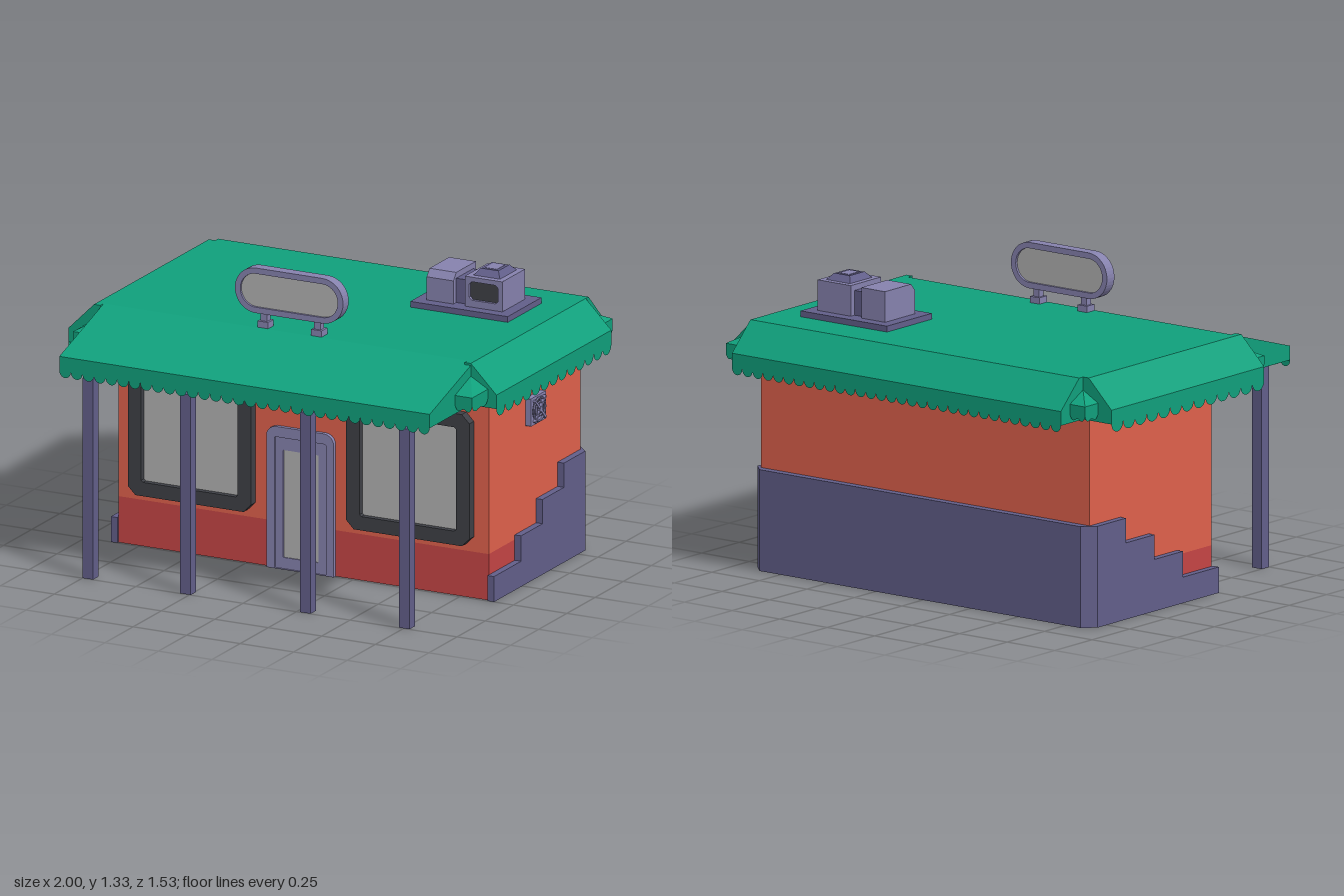
import * as THREE from 'three';
import { ConvexGeometry } from 'three/addons/geometries/ConvexGeometry.js';

const mat = (color, side = THREE.FrontSide) => new THREE.MeshStandardMaterial({ color, side, flatShading: true });
const M = {
  wall: mat(0xe0614c), plinth: mat(0xc54545), green: mat(0x10a07c), trim: mat(0x10a07c, THREE.DoubleSide),
  light: mat(0x8682ae), dark: mat(0x625f8a), black: mat(0x3e4046), glass: mat(0xb2b2b2),
};

function add(parent, name, geo, material) {
  const mesh = new THREE.Mesh(geo, material);
  mesh.name = name;
  parent.add(mesh);
  return mesh;
}

// Box given by its limits
function box(x0, x1, y0, y1, z0, z1) {
  return new THREE.BoxGeometry(x1 - x0, y1 - y0, z1 - z0).translate((x0 + x1) / 2, (y0 + y1) / 2, (z0 + z1) / 2);
}

const poly = (pts) => new THREE.Shape(pts.map(([x, y]) => new THREE.Vector2(x, y)));

// Rectangle with corners of radius r in n segments; only the top ones if topOnly
function roundRect(x0, y0, x1, y1, r, n = 5, topOnly = false) {
  const pts = [];
  const corner = (cx, cy, start) => {
    for (let i = 0; i <= n; i++) {
      const a = start + (i / n) * Math.PI / 2;
      pts.push([cx + r * Math.cos(a), cy + r * Math.sin(a)]);
    }
  };
  corner(x1 - r, y1 - r, 0);
  corner(x0 + r, y1 - r, Math.PI / 2);
  if (topOnly) pts.push([x0, y0], [x1, y0]);
  else {
    corner(x0 + r, y0 + r, Math.PI);
    corner(x1 - r, y0 + r, Math.PI * 1.5);
  }
  return poly(pts);
}

// Extrude a front-facing shape between two z values
function slab(shape, z0, z1, hole) {
  if (hole) shape.holes.push(hole);
  return new THREE.ExtrudeGeometry(shape, { depth: z1 - z0, bevelEnabled: false }).translate(0, 0, z0);
}

// Extrude a [z, y] profile between two x values
function prismX(profile, x0, x1) {
  return slab(poly(profile.map(([z, y]) => [-z, y])), x0, x1).rotateY(Math.PI / 2);
}

// Thin row of n scallops hanging below y = 0, centred on x
function scallops(length, n, drop) {
  const s = new THREE.Shape(), w = length / n;
  s.moveTo(-length / 2, 0);
  for (let i = 0; i < n; i++) s.absellipse(-length / 2 + (i + 0.5) * w, 0, w / 2, drop, Math.PI, Math.PI * 2, false);
  return new THREE.ShapeGeometry(s, 5);
}

function addRoof(root) {
  const roof = new THREE.Group();
  roof.name = 'roof';
  root.add(roof);
  add(roof, 'roofSlab', box(-0.85, 0.88, 0.89, 1.07, -0.645, 0.37), M.green);

  // Front and back awnings
  add(roof, 'frontAwning', prismX([[0.37, 0.89], [0.765, 0.89], [0.765, 0.95], [0.37, 1.07]], -0.85, 0.88), M.green);
  add(roof, 'backAwning', prismX([[-0.645, 0.89], [-0.645, 1.07], [-0.768, 0.95], [-0.768, 0.89]], -0.85, 0.88), M.green);
  for (const z of [0.765, -0.768])
    add(roof, 'longScallops', scallops(1.73, 32, 0.03), M.trim).position.set(0.015, 0.89, z);

  // Side awnings and hipped corner pieces
  for (const s of [-1, 1]) {
    const side = poly([[0.85, 0.89], [1, 0.89], [1, 0.95], [0.88, 1.07], [0.85, 1.07]].map(([x, y]) => [s * x, y]));
    add(roof, 'sideAwning', slab(side, -0.62, 0.4), M.green);
    const edge = add(roof, 'sideScallops', scallops(1.02, 13, 0.037), M.trim);
    edge.position.set(s, 0.89, -0.11);
    edge.rotation.y = s * Math.PI / 2;

    const x0 = s > 0 ? 0.88 : -0.85, x1 = x0 + s * 0.08;
    for (const [z0, z1] of [[0.4, s > 0 ? 0.54 : 0.49], [-0.62, -0.708]]) {
      const pts = [new THREE.Vector3(x0, 1.015, z0)];
      for (const x of [x0, x1]) for (const z of [z0, z1]) for (const y of [0.935, 0.97]) pts.push(new THREE.Vector3(x, y, z));
      add(roof, 'cornerAwning', new ConvexGeometry(pts), M.green);
      add(roof, 'cornerScallops', scallops(0.08, 2, 0.03), M.trim).position.set((x0 + x1) / 2, 0.935, z1);
      const c = add(roof, 'cornerScallops', scallops(Math.abs(z1 - z0), 2, 0.03), M.trim);
      c.position.set(x1, 0.935, (z0 + z1) / 2);
      c.rotation.y = Math.PI / 2;
    }
  }
}

function addSign(root) {
  const sign = new THREE.Group();
  sign.name = 'roofSign';
  root.add(sign);
  add(sign, 'signRim', slab(roundRect(-0.24, 1.13, 0.265, 1.325, 0.097, 10), 0.315, 0.365,
    roundRect(-0.215, 1.155, 0.24, 1.3, 0.072, 10)), M.light);
  add(sign, 'signPanel', slab(roundRect(-0.216, 1.154, 0.241, 1.301, 0.072, 10), 0.325, 0.355), M.glass);
  for (const x of [-0.11, 0.14]) {
    add(sign, 'signLeg', box(x - 0.015, x + 0.015, 1.07, 1.14, 0.325, 0.355), M.light);
    add(sign, 'signFoot', box(x - 0.025, x + 0.025, 1.07, 1.097, 0.315, 0.365), M.light);
  }
}

function addRoofUnit(root) {
  const unit = new THREE.Group();
  unit.name = 'roofUnit';
  root.add(unit);
  add(unit, 'unitBase', box(0.295, 0.75, 1.07, 1.095, -0.475, -0.175), M.dark);
  add(unit, 'smallHousing', prismX([[-0.425, 1.095], [-0.225, 1.095], [-0.225, 1.195], [-0.25, 1.225], [-0.425, 1.225]], 0.345, 0.47), M.light);
  add(unit, 'unitDuct', box(0.46, 0.53, 1.095, 1.2, -0.4, -0.25), M.dark);

  // Large housing: a shell with a recessed grille
  add(unit, 'largeHousing', box(0.525, 0.7, 1.095, 1.225, -0.425, -0.24), M.light);
  add(unit, 'grilleFrame', slab(roundRect(0.525, 1.095, 0.7, 1.225, 0.001, 1), -0.24, -0.222,
    roundRect(0.545, 1.125, 0.68, 1.205, 0.012, 1)), M.light);
  add(unit, 'grille', box(0.54, 0.685, 1.12, 1.21, -0.24, -0.235), M.black);

  // Tapered cap with a sunken opening
  const cap = new THREE.CylinderGeometry(0.045, 0.068, 0.027, 4, 1, true).rotateY(Math.PI / 4).scale(1.3, 1, 1.55);
  add(unit, 'cap', cap, M.dark).position.set(0.612, 1.238, -0.325);
  add(unit, 'capTop', box(0.572, 0.652, 1.225, 1.2505, -0.373, -0.277), M.dark);
  add(unit, 'capVent', box(0.585, 0.639, 1.245, 1.252, -0.36, -0.29), M.light);
}

function addVent(root) {
  const vent = new THREE.Group();
  vent.name = 'wallVent';
  vent.position.set(0.88, 0.725, -0.153);
  vent.rotation.y = Math.PI / 2;
  root.add(vent);
  const hole = new THREE.Path().absarc(0, 0, 0.052, 0, Math.PI * 2);
  add(vent, 'ventFrame', slab(roundRect(-0.067, -0.06, 0.067, 0.06, 0.002, 1), 0, 0.025, hole), M.light);
  add(vent, 'ventBack', new THREE.CircleGeometry(0.054, 20).translate(0, 0, 0.006), M.black);
  for (const r of [0.05, 0.03])
    add(vent, 'ventRing', new THREE.TorusGeometry(r, 0.005, 6, 20).translate(0, 0, 0.03), M.light);
  for (const a of [Math.PI / 4, -Math.PI / 4])
    add(vent, 'ventBar', box(-0.066, 0.066, -0.005, 0.005, 0.024, 0.038).rotateZ(a), M.light);
  add(vent, 'ventHub', new THREE.CylinderGeometry(0.012, 0.012, 0.035, 10).rotateX(Math.PI / 2).translate(0, 0, 0.022), M.light);
}

export function createModel() {
  const root = new THREE.Group();
  root.name = 'shop';

  // Walls
  add(root, 'lowerWall', box(-0.85, 0.88, 0, 0.2, -0.575, 0.24), M.plinth);
  add(root, 'upperWall', box(-0.85, 0.88, 0.2, 0.95, -0.575, 0.24), M.wall);

  // Stepped side cladding and back cladding with chamfered corners
  const steps = [[0.25, 0], [0.25, 0.11], [0.01, 0.11], [0.01, 0.22], [-0.18, 0.22], [-0.18, 0.325],
    [-0.37, 0.325], [-0.37, 0.43], [-0.56, 0.43], [-0.56, 0]];
  for (const x of [-0.88, 0.88]) add(root, 'steppedCladding', prismX(steps, x, x + 0.03), M.dark);
  const plan = poly([[-0.88, 0.56], [-0.83, 0.61], [0.86, 0.61], [0.91, 0.56], [0.88, 0.56], [0.88, 0.575], [-0.85, 0.575], [-0.85, 0.56]]);
  add(root, 'backCladding', slab(plan, 0, 0.43).rotateX(-Math.PI / 2), M.dark);

  // Windows
  for (const x of [-0.4975, 0.5225]) {
    add(root, 'windowFrame', slab(roundRect(x - 0.2875, 0.23, x + 0.2875, 0.8, 0.035, 1), 0.235, 0.28,
      roundRect(x - 0.225, 0.29, x + 0.225, 0.74, 0.008, 1)), M.black);
    add(root, 'windowPane', box(x - 0.23, x + 0.23, 0.285, 0.745, 0.235, 0.255), M.glass);
  }

  // Door
  add(root, 'doorFrame', slab(roundRect(-0.15, 0, 0.165, 0.615, 0.045, 5, true), 0.235, 0.258,
    roundRect(-0.112, 0.002, 0.128, 0.57, 0.004, 1)), M.light);
  add(root, 'doorLeaf', slab(roundRect(-0.114, 0.001, 0.13, 0.572, 0.002, 1), 0.235, 0.25,
    roundRect(-0.075, 0.05, 0.09, 0.515, 0.002, 1)), M.light);
  add(root, 'doorPane', box(-0.077, 0.092, 0.048, 0.517, 0.235, 0.245), M.glass);

  // Awning posts
  for (const x of [-0.726, -0.27, 0.29, 0.752])
    add(root, 'post', box(x - 0.025, x + 0.025, 0, 0.865, 0.7, 0.748), M.dark);

  addRoof(root);
  addSign(root);
  addRoofUnit(root);
  addVent(root);
  return root;
}
